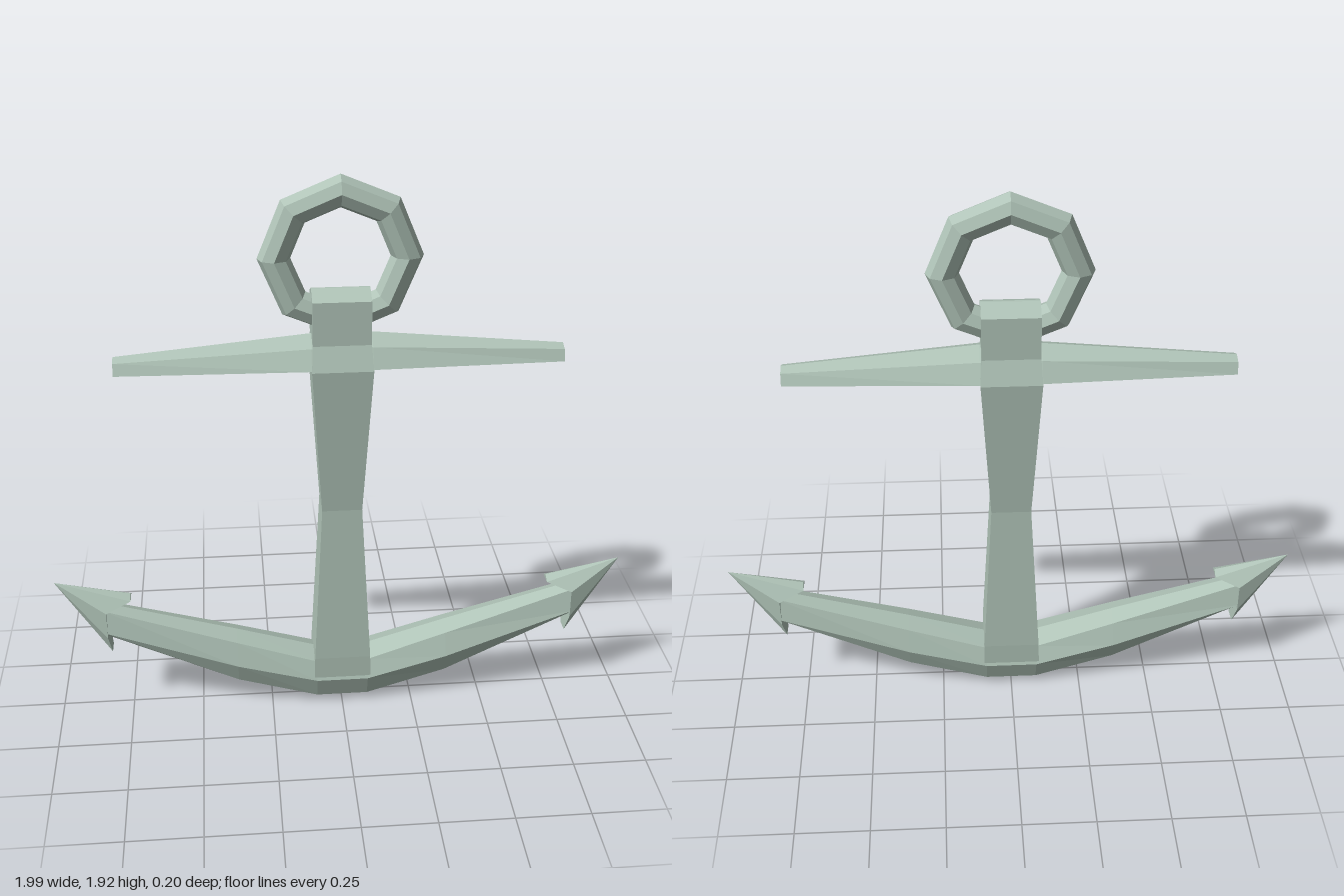
import * as THREE from 'three';
import { ConvexGeometry } from 'three/addons/geometries/ConvexGeometry.js';

const metal = new THREE.MeshStandardMaterial({ color: 0xb0c4b8, flatShading: true });
metal.name = 'paleGreenMetal';

// Closed skin over rings of points; each ring runs counterclockwise about the loft direction
function loft(rings) {
  const n = rings[0].length, pos = [];
  const tri = (a, b, c) => pos.push(...a, ...b, ...c);
  for (let k = 0; k < rings.length - 1; k++) {
    const a = rings[k], b = rings[k + 1];
    for (let i = 0; i < n; i++) {
      const j = (i + 1) % n;
      tri(a[i], a[j], b[j]);
      tri(a[i], b[j], b[i]);
    }
  }
  const first = rings[0], last = rings[rings.length - 1];
  for (let i = 1; i < n - 1; i++) {
    tri(first[0], first[i + 1], first[i]);
    tri(last[0], last[i], last[i + 1]);
  }
  const g = new THREE.BufferGeometry();
  g.setAttribute('position', new THREE.Float32BufferAttribute(pos, 3));
  g.computeVertexNormals();
  return g;
}

// Half section [y, z] from top to bottom, mirrored in z into a full ring at x
function ringAt(x, half) {
  const back = half.filter(p => p[1] > 0).reverse().map(([y, z]) => [y, -z]);
  return [...half, ...back].map(([y, z]) => [x, y, z]);
}

// Bar along x, symmetric left and right; stations are [x, half section]
function symmetricBar(stations) {
  const right = stations.map(([x, s]) => ringAt(x, s));
  const left = stations.map(([x, s]) => ringAt(-x, s)).reverse();
  return loft([...left, ...right]);
}

export function createModel() {
  const model = new THREE.Group();
  model.name = 'anchor';
  const add = (name, geometry) => {
    const m = new THREE.Mesh(geometry, metal);
    m.name = name;
    model.add(m);
    return m;
  };

  // Waisted square shank with a roof-shaped head: [y, half width, half depth]
  add('shank', loft([
    [0.1, 0.1, 0.09], [0.2, 0.098, 0.09], [0.78, 0.068, 0.065], [1.3, 0.1, 0.1],
    [1.38, 0.095, 0.07], [1.525, 0.095, 0.066], [1.553, 0.095, 0.004],
  ].map(([y, w, d]) => [[-w, y, d], [w, y, d], [w, y, -d], [-w, y, -d]])));

  // Tapered crossbar
  add('stock', symmetricBar([
    [0.1, [[1.4, 0], [1.37, 0.065], [1.305, 0.098]]],
    [0.735, [[1.34, 0], [1.328, 0.03], [1.29, 0.045]]],
  ]));

  // Curved arms in one piece
  add('arms', symmetricBar([
    [0.09, [[0.2, 0], [0.175, 0.07], [0.108, 0.094], [0.028, 0.065], [0, 0]]],
    [0.37, [[0.285, 0], [0.263, 0.06], [0.18, 0.085], [0.105, 0.055], [0.085, 0]]],
    [0.83, [[0.418, 0], [0.405, 0.035], [0.325, 0.052], [0.308, 0.032], [0.298, 0]]],
  ]));

  // Barbed arrowhead flukes: a core plus an upper and a lower barb
  const tip = [0.995, 0.508, 0];
  const pair = (x, y, z) => [[x, y, z], [x, y, -z]];
  const upper = pair(0.82, 0.405, 0.055), lower = pair(0.82, 0.305, 0.055);
  const pieces = {
    Core: [tip, ...upper, ...lower],
    UpperBarb: [tip, ...upper, [0.735, 0.452, 0], ...pair(0.735, 0.436, 0.028)],
    LowerBarb: [tip, ...lower, ...pair(0.81, 0.232, 0.026)],
  };
  for (const side of ['left', 'right']) {
    for (const [part, points] of Object.entries(pieces)) {
      const g = new ConvexGeometry(points.map(p => new THREE.Vector3(...p)));
      const mesh = add(`${side}Fluke${part}`, g);
      if (side === 'right') mesh.rotation.y = Math.PI;
    }
  }

  // Octagonal ring through the head
  add('ring', new THREE.TorusGeometry(0.212, 0.053, 8, 8)).position.y = 1.655;

  return model;
}
